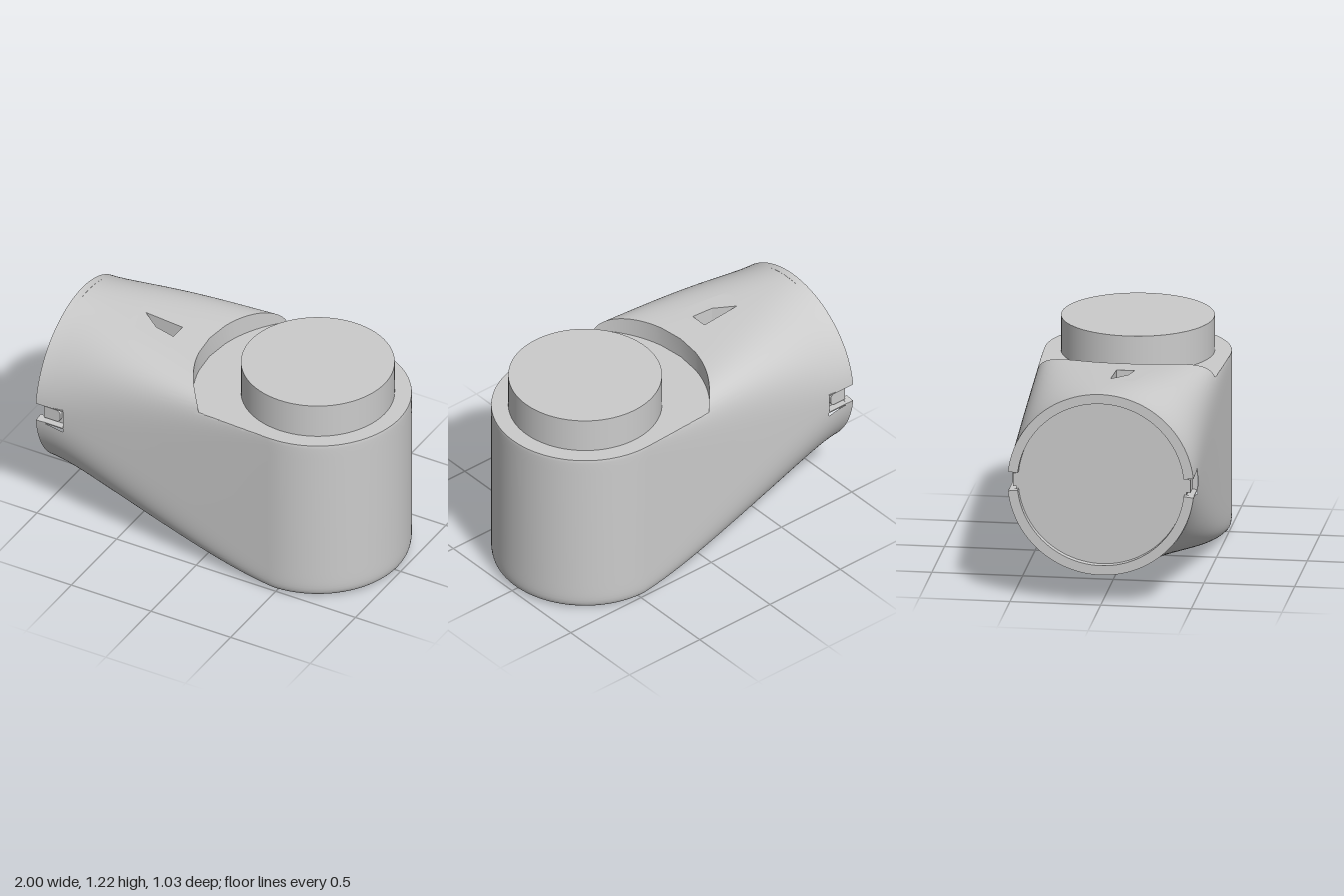
import * as THREE from 'three';
import { toCreasedNormals } from 'three/addons/utils/BufferGeometryUtils.js';

const SEG = 176;               // sides around the body
const AXIS = 0.48;             // x of the upright joint
const DECK = 1.02;             // height of the flat joint deck
const RIM = 0.68;              // radius of the curved step beside the deck
const mat = new THREE.MeshStandardMaterial({ color: 0xcccccc });
const matDouble = new THREE.MeshStandardMaterial({ color: 0xcccccc, side: THREE.DoubleSide });
const smooth = THREE.MathUtils.smoothstep;

// Cross-section at x: a circle at the open end, becoming a rounded box at the joint
function section(x) {
  const t = Math.max(0, (x + 1) / 1.48);
  const top = 1.2 - 0.12 * smooth(x, -1.5, 0.9) / 0.92 + 0.12 * smooth(-1, -1.5, 0.9) / 0.92;
  const bottom = 0.17 * (1 - smooth(x, -0.95, 0.5));
  return {
    n: 2 + 7.5 * t ** 1.5 + 9 * t ** 6,
    w: 0.515 - 0.008 * Math.sin(Math.PI * Math.min(t, 1)),
    c: (top + bottom) / 2,
    h: (top - bottom) / 2,
  };
}

function topHeight(x, z) {
  const { n, w, c, h } = section(x);
  return c + h * (1 - Math.abs(z / w) ** n) ** (1 / n);
}

// Point on the body: rows bend to follow the rim, then swing around the joint axis
function bodyPoint({ s, clip, phi = 0 }, j) {
  const a = ((j + SEG) % SEG) / SEG * Math.PI * 2;
  const bend = s < -0.2 ? smooth(s, -0.34, -0.2) : 1 - (s + 0.2) / (AXIS + 0.2);
  const power = (v, e) => (Math.abs(v) < 1e-9 ? 0 : Math.sign(v) * Math.abs(v) ** e);
  let x = s, y = 0, z = 0;
  for (let i = 0; i < 6; i++) {
    const { n, w, c, h } = section(x);
    z = w * power(Math.sin(a), 2 / n);
    y = c + h * power(Math.cos(a), 2 / n);
    x = s + bend * (RIM - Math.sqrt(RIM * RIM - z * z));
  }
  if (clip) y = Math.min(y, DECK);
  return [x + Math.abs(z) * Math.sin(phi), y, z * Math.cos(phi)];
}

function bodyRows() {
  const rows = [-1, -0.96, -0.9, -0.83, -0.78, -0.73, -0.68].map((s) => ({ s }));
  for (let i = 0; i <= 6; i++) rows.push({ s: -0.64 + i * 0.05 });
  for (let i = 1; i <= 7; i++) rows.push({ s: -0.34 + i * 0.02 });
  for (let i = 0; i <= 20; i++) rows.push({ s: -0.2 + i * 0.034, clip: true });
  for (let i = 1; i <= 28; i++) rows.push({ s: AXIS, clip: true, phi: i / 28 * Math.PI / 2 });
  return rows;
}

function bodyGeometry(rows) {
  const pos = [], idx = [];
  rows.forEach((r) => { for (let j = 0; j < SEG; j++) pos.push(...bodyPoint(r, j)); });
  for (let i = 0; i < rows.length - 1; i++) {
    const s = rows[i].s;
    for (let j = 0; j < SEG; j++) {
      const side = (j >= 41 && j <= 46) || (j >= 129 && j <= 134);
      if (side && s < -0.85) continue;                                   // latch notches
      if ((j < 4 || j === SEG - 1) && s > -0.65 && s < -0.35) continue;  // window patch
      const k = (j + 1) % SEG, a = i * SEG, b = a + SEG;
      idx.push(a + j, a + k, b + j, a + k, b + k, b + j);
    }
  }
  const g = new THREE.BufferGeometry();
  g.setAttribute('position', new THREE.Float32BufferAttribute(pos, 3));
  g.setIndex(idx);
  return toCreasedNormals(g, 0.55);
}

// Flat shape in (x, z) laid face-up, each vertex raised by a height rule
function layShape(shape, height) {
  const g = new THREE.ShapeGeometry(shape);
  const p = g.attributes.position;
  for (let i = 0; i < p.count; i++) {
    const x = p.getX(i), z = -p.getY(i);
    p.setXYZ(i, x, height(x, z), z);
  }
  g.computeVertexNormals();
  return g;
}

export function createModel() {
  const root = new THREE.Group();
  const add = (name, geo, material = mat, parent = root) => {
    const m = new THREE.Mesh(geo, material);
    m.name = name;
    parent.add(m);
    return m;
  };

  const rows = bodyRows();
  add('armBody', bodyGeometry(rows));

  // Round post on the joint deck
  add('jointPost', new THREE.CylinderGeometry(0.42, 0.42, 0.212, 96)).position.set(AXIS, 1.116, 0);

  // Small four-cornered window in the top of the arm
  const windowGroup = new THREE.Group();
  windowGroup.name = 'topWindow';
  root.add(windowGroup);
  const corners = [[-0.6, 0], [-0.37, 0], [-0.37, 0.1], [-0.49, 0.08]];
  const flat = corners.map(([x, z]) => new THREE.Vector2(x, -z));
  const patchRows = rows.filter((r) => r.s > -0.65 && r.s < -0.335);
  const last = patchRows[patchRows.length - 1];
  const edge = [];
  patchRows.forEach((r) => edge.push(bodyPoint(r, -1)));
  for (let j = 0; j < 4; j++) edge.push(bodyPoint(last, j));
  [...patchRows].reverse().forEach((r) => edge.push(bodyPoint(r, 4)));
  for (let j = 3; j >= 0; j--) edge.push(bodyPoint(patchRows[0], j));
  const patch = new THREE.Shape(edge.map(([x, , z]) => new THREE.Vector2(x, -z)));
  patch.holes.push(new THREE.Path(flat));
  add('windowSurround', layShape(patch, topHeight), matDouble, windowGroup);
  add('windowFloor', layShape(new THREE.Shape(flat), () => 1.05), matDouble, windowGroup);
  const wall = [];
  corners.forEach(([x, z], i) => {
    const [u, v] = corners[(i + 1) % 4];
    const a = [x, topHeight(x, z), z], b = [u, topHeight(u, v), v];
    wall.push(...a, ...b, x, 1.05, z, ...b, u, 1.05, v, x, 1.05, z);
  });
  const wallGeo = new THREE.BufferGeometry();
  wallGeo.setAttribute('position', new THREE.Float32BufferAttribute(wall, 3));
  wallGeo.computeVertexNormals();
  add('windowWalls', wallGeo, matDouble, windowGroup);

  // Open end: split collar around a recessed disc
  const end = new THREE.Group();
  end.name = 'openEnd';
  end.position.set(-0.96, 0.685, 0);
  root.add(end);
  const gap = 0.107;
  for (const start of [0, Math.PI]) {
    const ring = new THREE.Shape();
    ring.absarc(0, 0, 0.514, start + gap, start + Math.PI - gap, false);
    ring.absarc(0, 0, 0.46, start + Math.PI - gap, start + gap, true);
    const g = new THREE.ExtrudeGeometry(ring, { depth: 0.04, bevelEnabled: false, curveSegments: 80 });
    add('collarHalf', toCreasedNormals(g.rotateY(-Math.PI / 2), 0.5), mat, end);
  }
  add('endDisc', new THREE.CircleGeometry(0.465, 96).rotateY(-Math.PI / 2), mat, end);

  // Latch pocket on each side of the open end
  for (const side of [1, -1]) {
    const latch = new THREE.Group();
    latch.name = side > 0 ? 'frontLatch' : 'backLatch';
    latch.position.set(-0.895, 0.685, side * 0.48);
    root.add(latch);
    const box = (name, w, h, d, x, y, z) =>
      add(name, new THREE.BoxGeometry(w, h, d), mat, latch).position.set(x, y, z * side);
    box('pocketFloor', 0.13, 0.11, 0.02, 0, 0, -0.022);
    box('pocketEnd', 0.008, 0.11, 0.06, 0.067, 0, 0);
    for (const y of [-0.057, 0.057]) box('pocketWall', 0.13, 0.006, 0.06, 0, y, 0);
    // Tongue with a rounded inner end
    const tongue = new THREE.Shape();
    tongue.moveTo(-0.065, -0.037);
    tongue.lineTo(0, -0.037);
    tongue.absarc(0.01, -0.012, 0.025, -Math.PI / 2, 0, false);
    tongue.absarc(0.01, 0.012, 0.025, 0, Math.PI / 2, false);
    tongue.lineTo(-0.065, 0.037);
    const g = new THREE.ExtrudeGeometry(tongue, { depth: 0.025, bevelEnabled: false });
    add('latchTongue', g, mat, latch).position.z = side > 0 ? -0.015 : -0.01;
  }
  return root;
}
